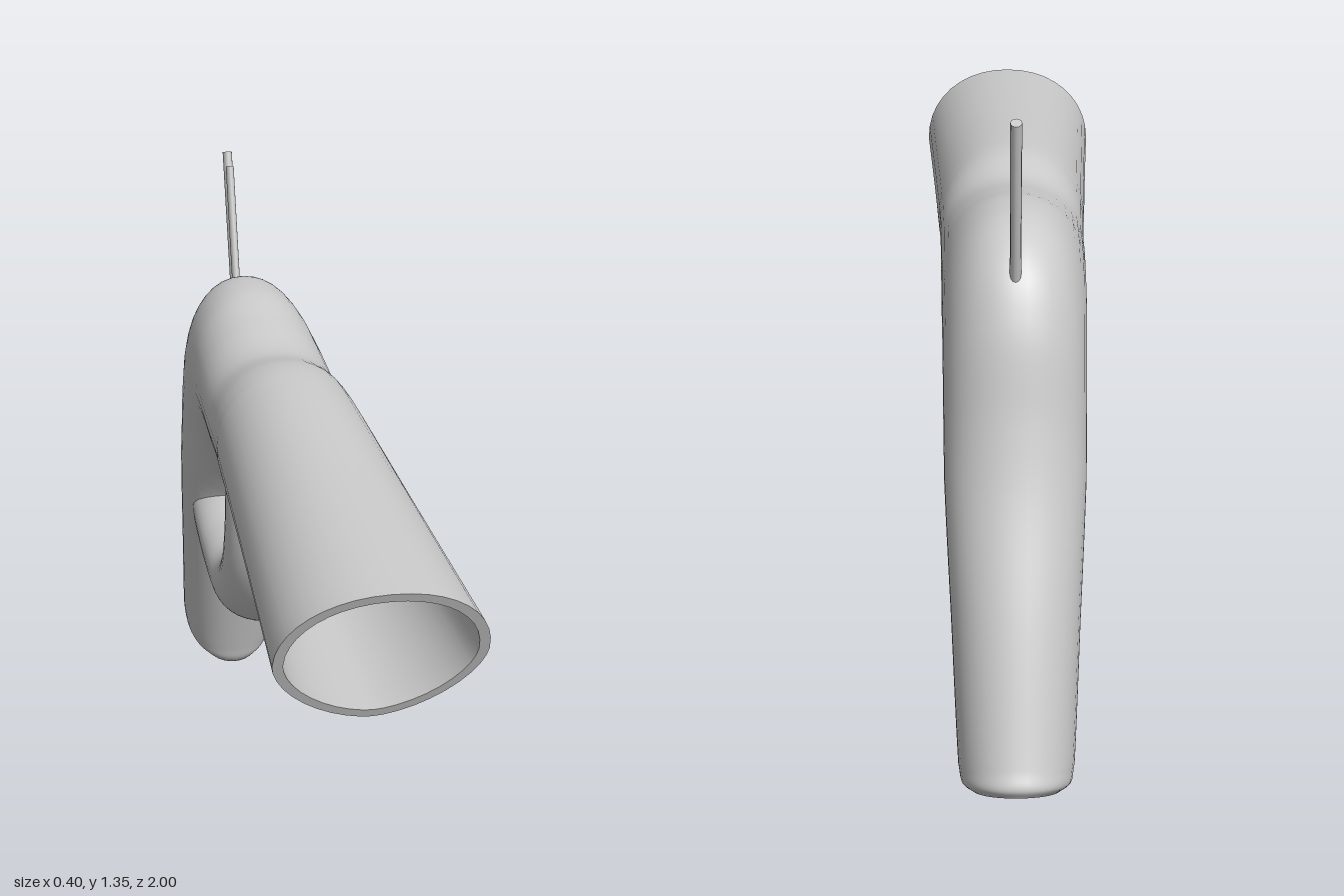
import * as THREE from 'three';

const material = new THREE.MeshStandardMaterial({ color: 0xcccccc, side: THREE.DoubleSide });
const SIDES = 40;

// Cross-section rows: [top z, top y, bottom z, bottom y, half width, roundness of lower half]
const BODY = [
  [1.0, 1.05, 0.86, 0.73, 0.2, 1.7],
  [0.5, 1.078, 0.45, 0.75, 0.178, 1.8],
  [0.06, 1.104, 0.03, 0.768, 0.158, 2],
  [-0.02, 1.1, -0.04, 0.775, 0.154, 2],
  [-0.14, 1.078, -0.14, 0.785, 0.15, 2.1],
  [-0.3, 1.1, -0.28, 0.78, 0.147, 2.1],
  [-0.44, 1.123, -0.38, 0.745, 0.144, 2.2],
  [-0.57, 1.11, -0.43, 0.705, 0.142, 2.2],
  [-0.66, 1.05, -0.465, 0.67, 0.14, 2.2],
  [-0.715, 0.95, -0.49, 0.64, 0.139, 2.2],
  [-0.76, 0.77, -0.525, 0.59, 0.138, 2.2],
  [-0.8, 0.64, -0.55, 0.545, 0.136, 2.2],
  [-0.89, 0.42, -0.62, 0.33, 0.125, 2.2],
  [-0.985, 0.17, -0.715, 0.05, 0.112, 2.2],
  [-1.0, 0.135, -0.725, 0.02, 0.105, 2.2],
  [-0.99, 0.115, -0.735, 0.005, 0.085, 2.2],
];
const GUARD = [
  [-0.16, 0.85, -0.03, 0.83, 0.1, 2.2],
  [-0.175, 0.8, 0, 0.77, 0.118, 2.2],
  [-0.18, 0.72, -0.003, 0.68, 0.121, 2.2],
  [-0.2, 0.65, -0.04, 0.56, 0.122, 2.2],
  [-0.27, 0.58, -0.12, 0.445, 0.122, 2.2],
  [-0.35, 0.545, -0.22, 0.388, 0.122, 2.2],
  [-0.45, 0.55, -0.38, 0.383, 0.122, 2.2],
  [-0.56, 0.57, -0.6, 0.42, 0.12, 2.2],
  [-0.7, 0.57, -0.7, 0.44, 0.112, 2.2],
];

// Shrinks a cross-section by a wall thickness
function inset([tz, ty, bz, by, w, e], wall) {
  const k = wall / Math.hypot(tz - bz, ty - by);
  const dz = (bz - tz) * k, dy = (by - ty) * k;
  return [tz + dz, ty + dy, bz - dz, by - dy, w - wall, e];
}

// Smooth skin through the rows, optionally closed at the far end
function loft(name, rows, steps, capEnd) {
  const curve = (f) => new THREE.CatmullRomCurve3(rows.map(f));
  const top = curve((r) => new THREE.Vector3(0, r[1], r[0]));
  const bottom = curve((r) => new THREE.Vector3(0, r[3], r[2]));
  const size = curve((r, i) => new THREE.Vector3(r[4], r[5], i));
  const rings = steps + (capEnd ? 2 : 1);
  const pos = [], index = [];
  for (let i = 0; i < rings; i++) {
    const t = Math.min(i / steps, 1);
    const a = top.getPoint(t), b = bottom.getPoint(t), s = size.getPoint(t);
    const mid = a.clone().lerp(b, 0.5), half = a.clone().sub(b).multiplyScalar(0.5);
    const scale = i > steps ? 0 : 1;
    for (let j = 0; j < SIDES; j++) {
      const angle = (j / SIDES) * Math.PI * 2;
      const c = Math.cos(angle), sn = Math.sin(angle);
      const p = 2 / (c < 0 ? s.y : 2.1);
      const u = Math.sign(c) * Math.abs(c) ** p * scale;
      const v = Math.sign(sn) * Math.abs(sn) ** p * scale;
      pos.push(v * s.x, mid.y + half.y * u, mid.z + half.z * u);
      if (i < rings - 1) {
        const n = (j + 1) % SIDES, k = i * SIDES;
        index.push(k + j, k + SIDES + j, k + n, k + n, k + SIDES + j, k + SIDES + n);
      }
    }
  }
  const geometry = new THREE.BufferGeometry();
  geometry.setAttribute('position', new THREE.Float32BufferAttribute(pos, 3));
  // Wind the faces outward
  for (let i = 0; i < index.length; i += 3) [index[i + 1], index[i + 2]] = [index[i + 2], index[i + 1]];
  geometry.setIndex(index);
  geometry.computeVertexNormals();
  const mesh = new THREE.Mesh(geometry, material);
  mesh.name = name;
  return mesh;
}

// Thin straight rod between two [z, y] points
function rod(name, [z0, y0], [z1, y1], radius) {
  const a = new THREE.Vector3(0, y0, z0), b = new THREE.Vector3(0, y1, z1);
  const mesh = new THREE.Mesh(new THREE.CylinderGeometry(radius, radius, a.distanceTo(b), 12), material);
  mesh.scale.x = 0.75;
  mesh.position.copy(a).lerp(b, 0.5);
  mesh.rotation.x = Math.atan2(z1 - z0, y1 - y0);
  mesh.name = name;
  return mesh;
}

export function createModel() {
  const model = new THREE.Group();
  model.name = 'toyPistol';

  // Barrel and grip in one bent tube, with a hollow bore
  model.add(loft('barrelAndGrip', BODY, 120, true));
  model.add(loft('bore', BODY.slice(0, 8).map((r) => inset(r, 0.02)).reverse(), 60, false));
  model.add(loft('muzzleRim', [inset(BODY[0], 0.02), BODY[0]], 1, false));

  // Curved guard between barrel and grip
  model.add(loft('triggerGuard', GUARD, 64, true));

  // Trigger and the two rods of the hammer
  model.add(rod('trigger', [-0.18, 0.825], [-0.36, 0.6], 0.015));
  model.add(rod('hammerFront', [-0.638, 1.02], [-0.73, 1.328], 0.0125));
  model.add(rod('hammerBack', [-0.655, 1.0], [-0.765, 1.353], 0.0145));
  return model;
}
